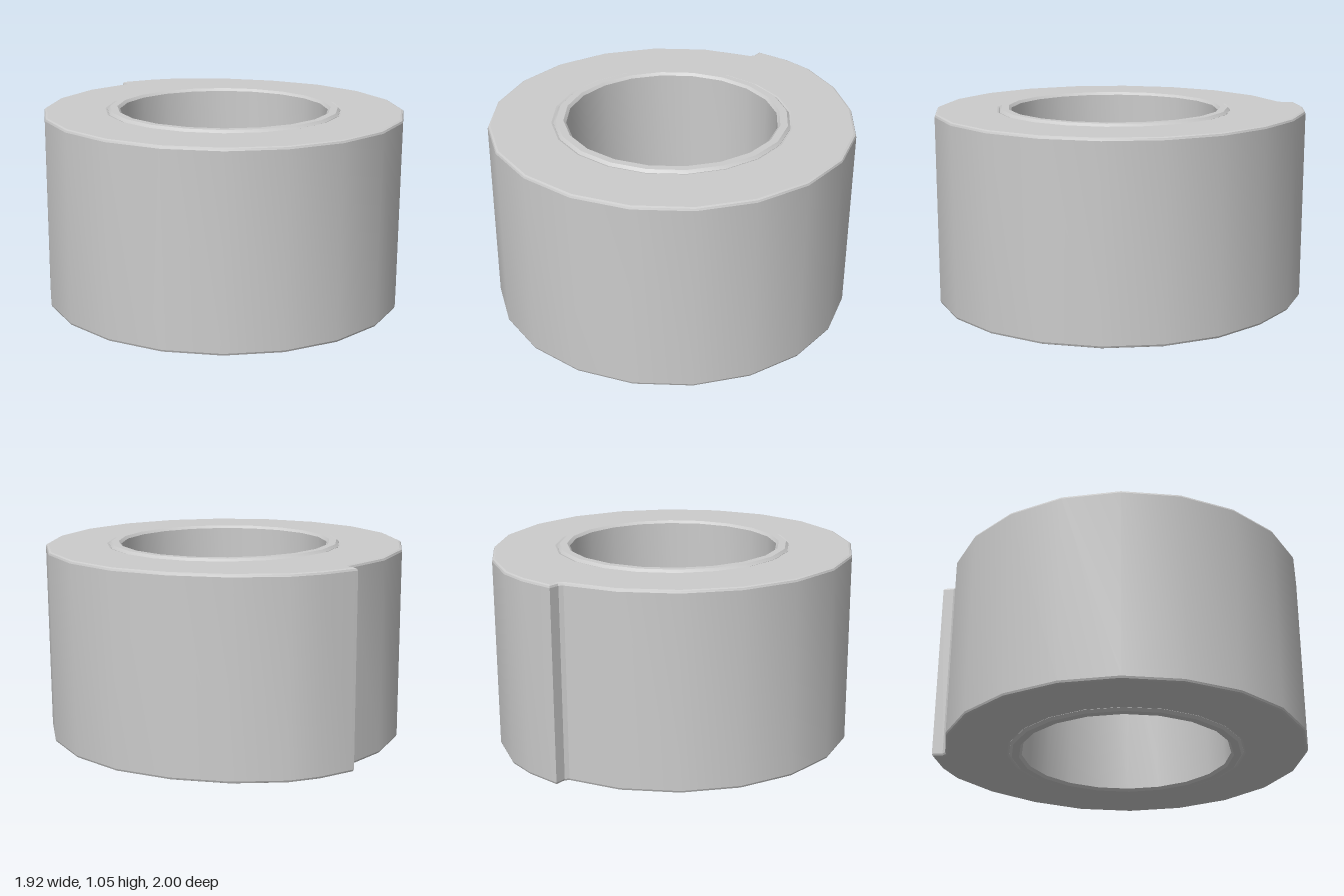
import * as THREE from 'three';
import { toCreasedNormals } from 'three/addons/utils/BufferGeometryUtils.js';

const SIDES = 20;
const AXIS_Z = 0.035; // the loose end offsets the roll's axis
const CREASE = 0.38;

// Points of a regular polygon with a corner at the back, shape y = -z
function ringPoints(radius, from, to) {
  const points = [];
  for (let i = from; i <= to; i++) {
    const a = (i / SIDES) * Math.PI * 2;
    points.push(new THREE.Vector2(-radius * Math.sin(a), radius * Math.cos(a) - AXIS_Z));
  }
  return points;
}

export function createModel() {
  const group = new THREE.Group();
  group.name = 'tapeRoll';
  const material = new THREE.MeshStandardMaterial({ color: 0xcccccc });

  // Wound tape: round outline that lifts outward to a stepped loose end
  const looseEnd = [
    [0.585, 0.755], [0.355, 0.92], [0.195, 0.975], [0, 1], [-0.005, 0.942], [-0.022, 0.925],
  ].map(([x, y]) => new THREE.Vector2(x, y));
  const outline = new THREE.Shape([...ringPoints(0.96, 1, 17), ...looseEnd]);
  outline.holes.push(new THREE.Path(ringPoints(0.618, 0, SIDES - 1).reverse()));
  const bevel = 0.014;
  const height = 1.022;
  const tapeGeometry = new THREE.ExtrudeGeometry(outline, {
    depth: height - 2 * bevel,
    bevelThickness: bevel,
    bevelSize: bevel,
    bevelOffset: -bevel,
    bevelSegments: 2,
  });
  tapeGeometry.translate(0, 0, bevel - height / 2);
  tapeGeometry.rotateX(-Math.PI / 2);
  const tape = new THREE.Mesh(toCreasedNormals(tapeGeometry, CREASE), material);
  tape.name = 'woundTape';
  group.add(tape);

  // Core tube, slightly taller than the tape, with chamfered rims
  const rIn = 0.555, rOut = 0.622, h = 0.522, c = 0.014;
  const profile = [
    [rIn, h - c], [rIn, c - h], [rIn + c, -h], [rOut - c, -h],
    [rOut, c - h], [rOut, h - c], [rOut - c, h], [rIn + c, h], [rIn, h - c],
  ].map(([x, y]) => new THREE.Vector2(x, y));
  const coreGeometry = new THREE.LatheGeometry(profile, SIDES);
  coreGeometry.translate(0, 0, AXIS_Z);
  const core = new THREE.Mesh(toCreasedNormals(coreGeometry, CREASE), material);
  core.name = 'coreTube';
  group.add(core);

  // The roll leans very slightly to its left
  group.rotation.z = -0.005;
  group.position.y = 0.526;
  return group;
}
